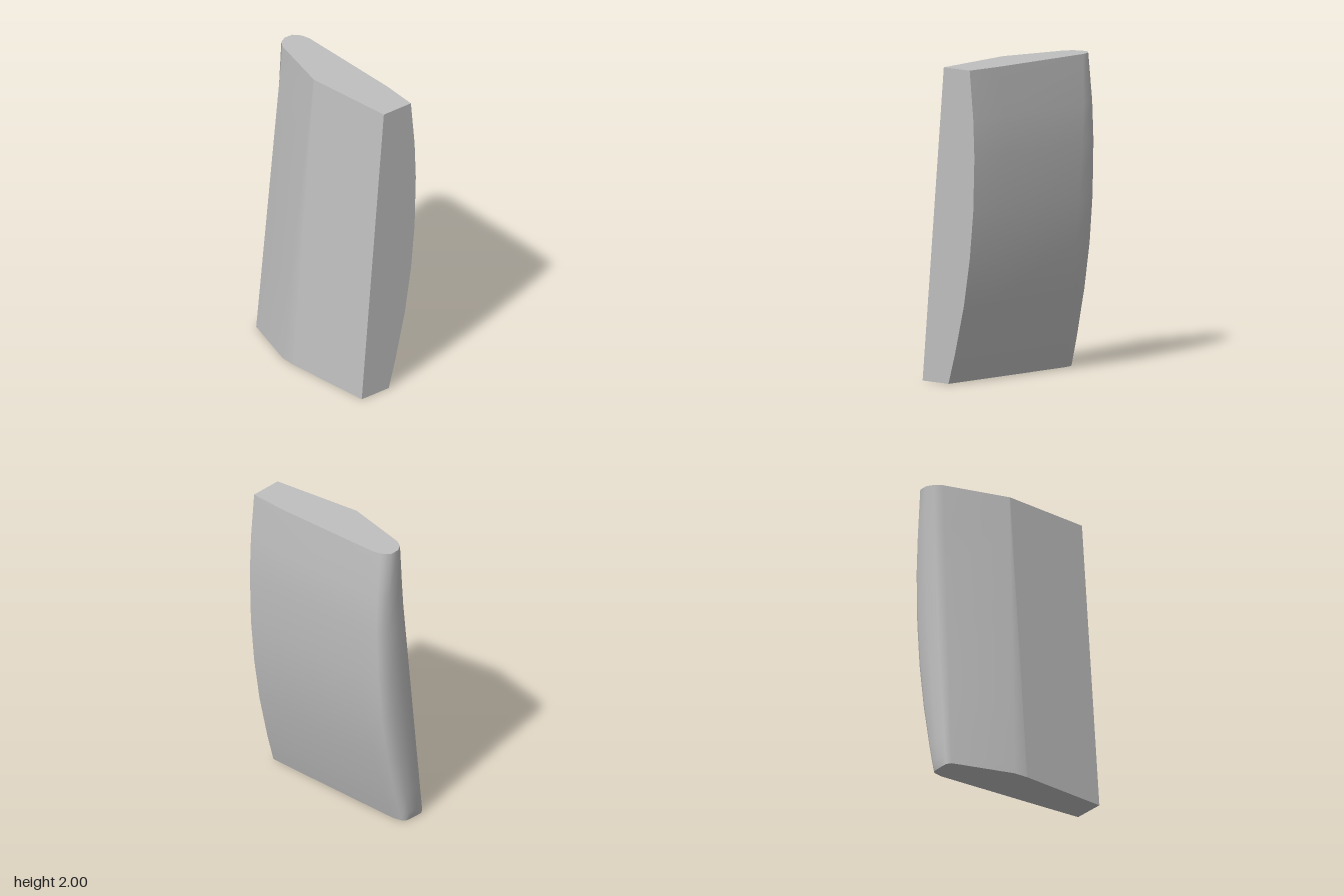
import * as THREE from 'three';

const lerp = THREE.MathUtils.lerp;

// Rows from foot to top: height, front right edge x, broadest right x, rearmost z
const rows = [
  [0, 0.01, 0.05, -0.56],
  [0.06, 0.027, 0.067, -0.572],
  [0.2, 0.067, 0.105, -0.575],
  [0.5, 0.14, 0.175, -0.573],
  [0.8, 0.19, 0.226, -0.57],
  [1.1, 0.22, 0.255, -0.567],
  [1.45, 0.23, 0.265, -0.563],
  [1.7, 0.22, 0.253, -0.56],
  [2, 0.19, 0.215, -0.557],
];

// One horizontal cross-section, anticlockwise from the front left corner
function section([y, frontX, sideX, backZ]) {
  const t = y / 2;
  const backLeft = lerp(-0.145, 0.02, t);
  const bulge = Math.sin(Math.PI * t);
  const across = (f) => lerp(backLeft, sideX, f);
  return [
    [lerp(-0.21, -0.03, t), 0.575],
    [frontX, 0.575],
    [lerp(frontX, sideX, 0.28 + 0.5 * t ** 4), 0.32],
    [sideX, lerp(-0.47, -0.45, t) + 0.09 * bulge],
    [across(0.94), lerp(-0.53, -0.5, t)],
    [across(0.87), lerp(-0.55, -0.525, t)],
    [across(0.72), backZ + 0.003],
    [across(0.41), backZ],
    [across(0.16), lerp(-0.56, -0.53, t)],
    [backLeft, lerp(-0.54, -0.48, t)],
    [lerp(-0.265, -0.09, t), lerp(-0.135, -0.042, t)],
    [lerp(-0.267, -0.091, t), -0.038],
    [lerp(-0.21, -0.03, t), 0.575],
  ].map(([x, z]) => [x, y, z]);
}

const sections = rows.map(section);

function makeGeometry(points, index) {
  const geometry = new THREE.BufferGeometry();
  geometry.setAttribute('position', new THREE.Float32BufferAttribute(points.flat(), 3));
  geometry.setIndex(index);
  geometry.computeVertexNormals();
  return geometry;
}

// Smooth strip of wall between two corners of the cross-section
function wall(from, to) {
  const n = to - from + 1;
  const points = sections.flatMap((s) => s.slice(from, to + 1));
  const index = [];
  for (let r = 0; r < rows.length - 1; r++) {
    for (let c = 0; c < n - 1; c++) {
      const a = r * n + c;
      index.push(a, a + 1, a + n + 1, a, a + n + 1, a + n);
    }
  }
  return makeGeometry(points, index);
}

// Flat end closing a cross-section
function cap(points, up) {
  const index = [];
  for (let i = 1; i < points.length - 2; i++) {
    index.push(0, up ? i : i + 1, up ? i + 1 : i);
  }
  return makeGeometry(points, index);
}

export function createModel() {
  const grey = new THREE.MeshStandardMaterial({ color: 0xbfbfbf });
  grey.name = 'grey';
  const group = new THREE.Group();
  group.name = 'curvedBlock';

  const parts = {
    frontFace: wall(0, 1),
    curvedSideAndRoundedBack: wall(1, 11),
    slopingSide: wall(11, 12),
    topFace: cap(sections[sections.length - 1], true),
    bottomFace: cap(sections[0], false),
  };
  for (const [name, geometry] of Object.entries(parts)) {
    const mesh = new THREE.Mesh(geometry, grey);
    mesh.name = name;
    group.add(mesh);
  }
  return group;
}
